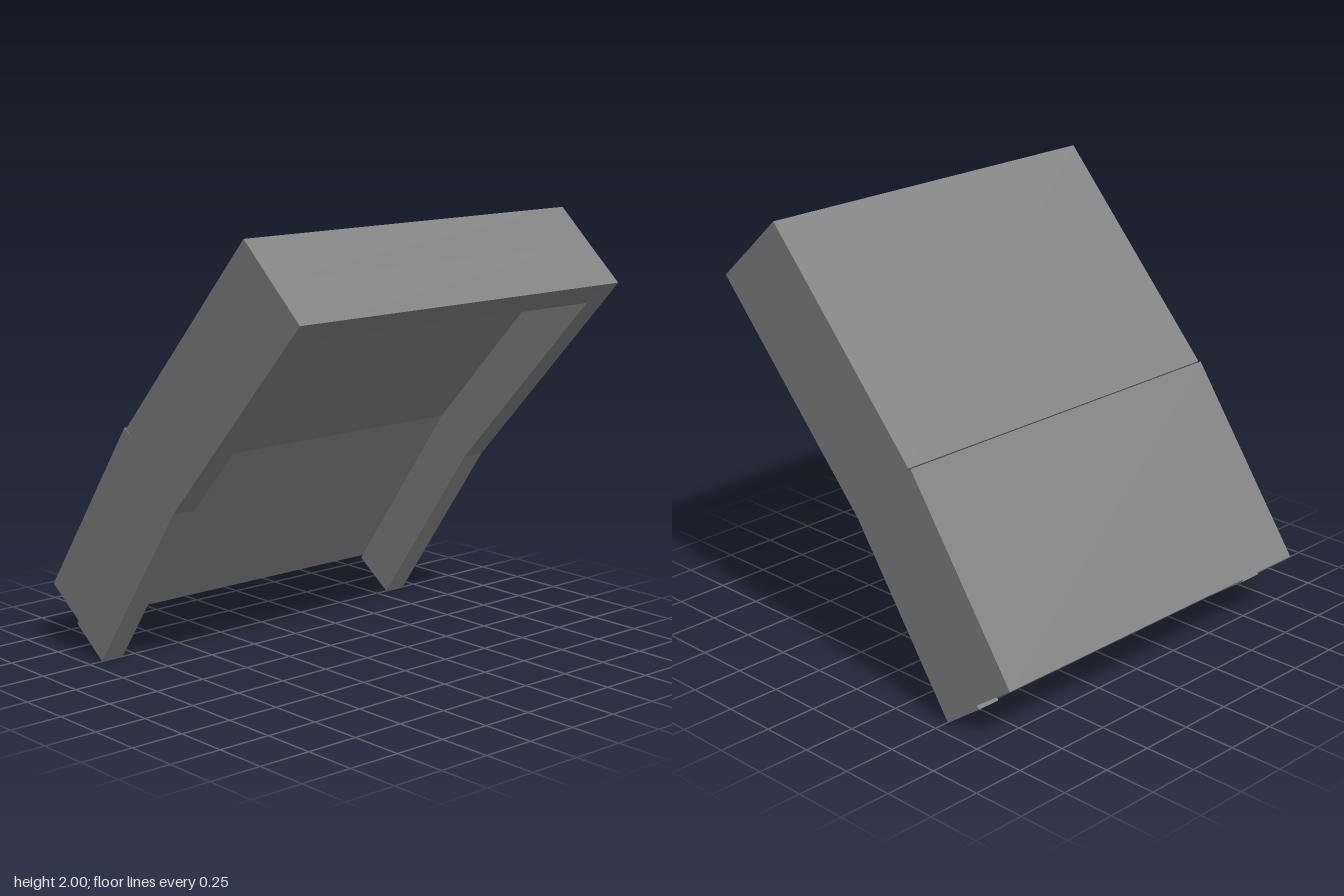
import * as THREE from 'three';

const grey = new THREE.MeshStandardMaterial({ color: 0x808080 });
grey.name = 'grey';

const HALF = 0.93;   // half of the overall width
const WALL = 0.115;  // side wall thickness

// Profile corners as [z, y]
const topBack = [0.53, 2.0], topFront = [0.873, 1.69], topMid = [0.699, 1.846];
const lipFront = [0.791, 1.602], lipMid = [0.617, 1.757];
const hingeUpper = [-0.285, 1.104], hingeLower = [-0.298, 1.106], notch = [-0.25, 1.075];
const innerBend = [-0.117, 0.955], frontBend = [0.04, 0.78];
const bottomBack = [-0.873, 0.285], bottomMid = [-0.68, 0.15];
const legBack = [-0.691, 0.134], legFront = [-0.503, 0];

// Extrudes a side profile across x, from x0 to x1
function slab(name, points, x0, x1) {
  const shape = new THREE.Shape(points.map(([z, y]) => new THREE.Vector2(z, y)));
  const geometry = new THREE.ExtrudeGeometry(shape, { depth: x1 - x0, bevelEnabled: false });
  geometry.rotateY(-Math.PI / 2);
  geometry.translate(x1, 0, 0);
  const mesh = new THREE.Mesh(geometry, grey);
  mesh.name = name;
  return mesh;
}

export function createModel() {
  const model = new THREE.Group();
  model.name = 'bentPanel';

  // Two thick back panels meeting at a narrow notch
  model.add(slab('upperPanel', [topBack, hingeUpper, notch, innerBend, topMid], -HALF, HALF));
  model.add(slab('lowerPanel', [hingeLower, bottomBack, bottomMid, innerBend, notch], -HALF, HALF));

  // Bent side walls that run past the lower panel as short feet
  const side = [topMid, innerBend, bottomMid, legBack, legFront, frontBend, topFront];
  model.add(slab('leftWall', side, HALF - WALL, HALF));
  model.add(slab('rightWall', side, -HALF, -HALF + WALL));

  // Wall closing the upper end between the sides
  model.add(slab('topWall', [topMid, topFront, lipFront, lipMid], -HALF + WALL, HALF - WALL));

  return model;
}
